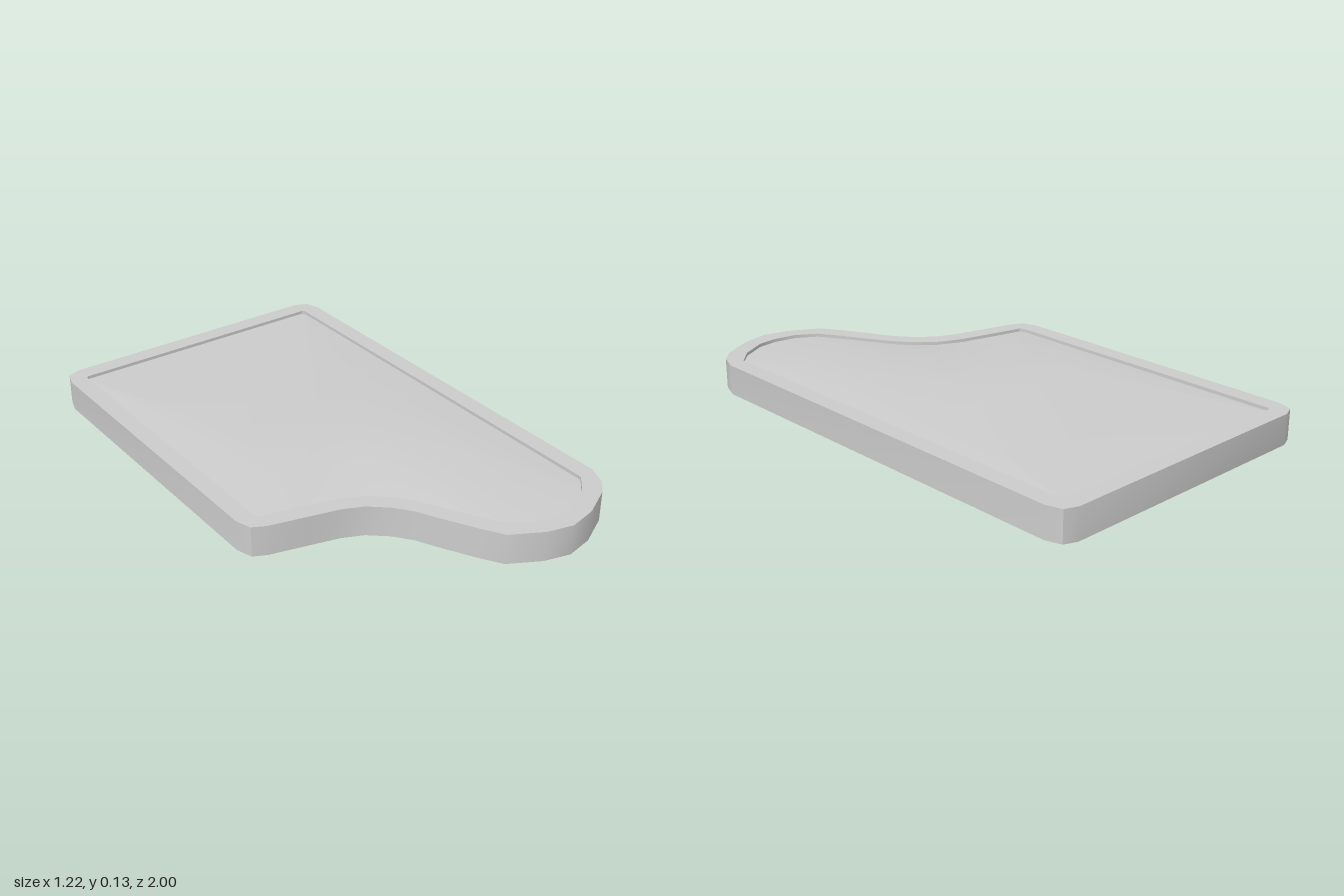
import * as THREE from 'three';
import { toCreasedNormals } from 'three/addons/utils/BufferGeometryUtils.js';

const RIM_Y = 0.12, LIP_Y = 0.085, PANEL_Y = 0.107, CREST_Y = 0.132;

// Plan outlines as [x, z], clockwise seen from above
const OUTER = [
  [-0.59, -0.98], [-0.54, -1], [0.54, -1], [0.59, -0.98], [0.61, -0.92],
  [0.61, 0.78], [0.58, 0.86], [0.53, 0.91], [0.41, 0.975], [0.3, 1], [0.2, 0.975],
  [0.08, 0.91], [0.03, 0.83], [-0.04, 0.7], [-0.08, 0.62], [-0.13, 0.555],
  [-0.2, 0.495], [-0.28, 0.46], [-0.4, 0.43], [-0.54, 0.395], [-0.59, 0.37],
  [-0.61, 0.31], [-0.61, -0.92],
];
const INNER = [
  [-0.54, -0.92], [-0.53, -0.93], [0.53, -0.93], [0.54, -0.92], [0.54, 0.795],
  [0.48, 0.86], [0.38, 0.915], [0.3, 0.925], [0.21, 0.91], [0.13, 0.86],
  [0.08, 0.78], [0.02, 0.67], [-0.03, 0.58], [-0.08, 0.51], [-0.16, 0.44],
  [-0.26, 0.395], [-0.4, 0.36], [-0.53, 0.33], [-0.54, 0.31],
];

const ring = (outline, y) => outline.map(([x, z]) => new THREE.Vector3(x, y, z));

// Closed band of quads between two rings with equal point counts
function band(low, high) {
  const tris = [];
  low.forEach((a, i) => {
    const j = (i + 1) % low.length;
    tris.push([a, high[i], low[j]], [low[j], high[i], high[j]]);
  });
  return tris;
}

function surface(tris, crease) {
  const solid = tris.filter(([a, b, c]) => new THREE.Triangle(a, b, c).getArea() > 1e-7);
  const geometry = new THREE.BufferGeometry().setFromPoints(solid.flat());
  return toCreasedNormals(geometry, crease);
}

export function createModel() {
  const group = new THREE.Group();
  group.name = 'tray';
  const material = new THREE.MeshStandardMaterial({ color: 0xcccccc, side: THREE.DoubleSide });
  const add = (name, geometry) => {
    const mesh = new THREE.Mesh(geometry, material);
    mesh.name = name;
    group.add(mesh);
  };

  // Outer wall, open underneath
  add('outerWall', surface(band(ring(OUTER, 0), ring(OUTER, RIM_Y)), 0.6));

  // Flat rim around the opening
  const flat = (outline) => outline.map(([x, z]) => new THREE.Vector2(x, -z));
  const shape = new THREE.Shape(flat(OUTER));
  shape.holes.push(new THREE.Path(flat(INNER)));
  add('rim', new THREE.ShapeGeometry(shape).rotateX(-Math.PI / 2).translate(0, RIM_Y, 0));

  // Lip turned down from the inner edge of the rim
  add('innerLip', surface(band(ring(INNER, RIM_Y), ring(INNER, LIP_Y)), 0.6));

  // Slightly crowned panel: its edge sits below the rim, its middle above
  const { clamp, lerp } = THREE.MathUtils;
  const crest = INNER.map(([x, z]) => {
    const front = lerp(0.15, 0.42, clamp((x + 0.2) / 0.35, 0, 1));
    return new THREE.Vector3(clamp(x, -0.31, 0.33), CREST_Y, clamp(z, -0.2, front));
  });
  const centre = new THREE.Vector3(0.1, CREST_Y, 0);
  const cap = crest.map((a, i) => [a, centre, crest[(i + 1) % crest.length]]);
  add('panel', surface([...band(ring(INNER, PANEL_Y), crest), ...cap], 0.6));

  return group;
}
